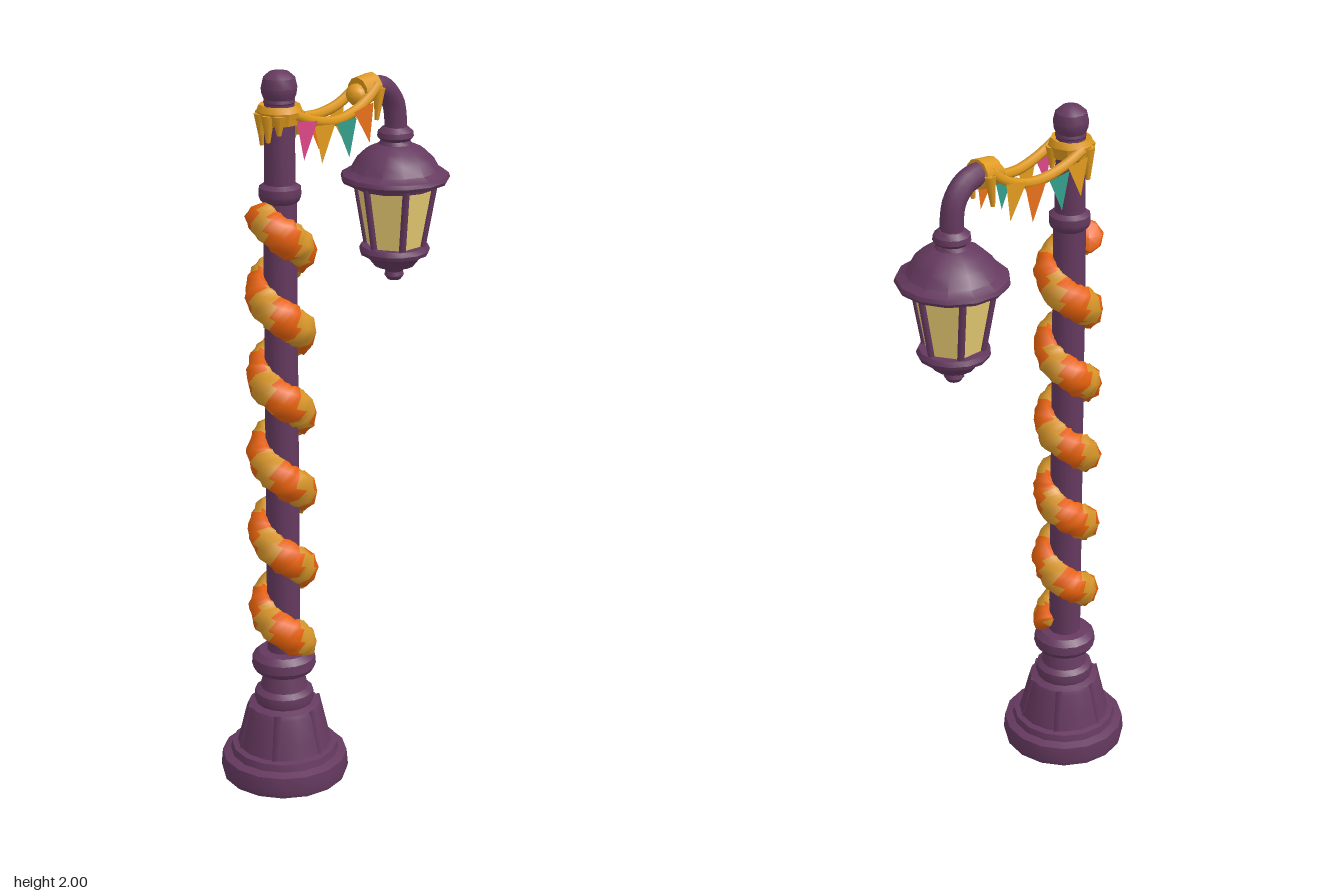
import * as THREE from 'three';
import { toCreasedNormals } from 'three/addons/utils/BufferGeometryUtils.js';

const mat = (name, color) => {
  const m = new THREE.MeshStandardMaterial({ color });
  m.name = name;
  return m;
};

const V = (x, y, z) => new THREE.Vector3(x, y, z);

export function createModel() {
  const purple = mat('plum iron', 0x65395f);
  const gold = mat('gold cloth', 0xe09a1e);
  const orange = mat('orange leaf', 0xe8620c);
  const amber = mat('amber leaf', 0xd8962a);
  const glass = mat('lamp glass', 0xf2d478);
  const pink = mat('pink flag', 0xdc4688);
  const teal = mat('teal flag', 0x339e8a);
  const flagOrange = mat('orange flag', 0xe8701a);
  for (const m of [pink, teal, gold, flagOrange]) m.side = THREE.DoubleSide;

  const root = new THREE.Group();
  root.name = 'streetLamp';
  const add = (parent, name, geo, material) => {
    const mesh = new THREE.Mesh(geo, material);
    mesh.name = name;
    parent.add(mesh);
    return mesh;
  };
  const lathe = (pts, sides) =>
    toCreasedNormals(new THREE.LatheGeometry(pts.map(p => new THREE.Vector2(...p)), sides), 0.6);
  // round bar between two points
  const bar = (parent, name, a, b, r0, r1, material, sides = 6) => {
    const d = b.clone().sub(a);
    const mesh = add(parent, name, new THREE.CylinderGeometry(r1, r0, d.length(), sides), material);
    mesh.position.copy(a).add(b).multiplyScalar(0.5);
    mesh.quaternion.setFromUnitVectors(V(0, 1, 0), d.normalize());
    return mesh;
  };
  let seed = 7;
  const rand = () => (seed = (seed * 16807) % 2147483647) / 2147483647;

  // ---- post, standing at z = 0.2
  const post = new THREE.Group();
  post.name = 'post';
  post.position.z = 0.198;
  root.add(post);
  add(post, 'base', lathe([
    [0, 0], [0.175, 0], [0.179, 0.015], [0.175, 0.06], [0.152, 0.068], [0.148, 0.088],
    [0.132, 0.092], [0.122, 0.13], [0.105, 0.2], [0.1, 0.212], [0.08, 0.22], [0.083, 0.23],
    [0.081, 0.252], [0.066, 0.264], [0.056, 0.31], [0.08, 0.317], [0.089, 0.332], [0.087, 0.358],
    [0.07, 0.374], [0.045, 0.378],
  ], 16), purple);
  for (let i = 0; i < 6; i++) {
    const a = (i + 0.5) * Math.PI / 3 + 0.1, s = Math.sin(a), c = Math.cos(a);
    bar(post, 'baseRib', V(s * 0.122, 0.085, c * 0.122), V(s * 0.094, 0.212, c * 0.094),
      0.016, 0.014, purple, 4);
  }
  add(post, 'shaft', lathe([
    [0.047, 0.37], [0.045, 1.655], [0.052, 1.662], [0.057, 1.675], [0.056, 1.695],
    [0.042, 1.705], [0.04, 1.915], [0.034, 1.92],
  ], 12), purple);
  add(post, 'finial', lathe([
    [0.034, 1.905], [0.042, 1.918], [0.04, 1.926], [0.046, 1.94], [0.048, 1.955],
    [0.042, 1.98], [0.025, 1.995], [0, 2],
  ], 12), purple);

  // ---- leafy garland winding down the post, orange with an amber patch each quarter turn
  const rings = 180, sides = 8, t0 = -0.85, t1 = Math.PI * 10 + 2.9;
  const points = [], faces = [[], []];
  for (let i = 0; i <= rings; i++) {
    const t = t0 + (t1 - t0) * i / rings;
    const er = V(Math.sin(t), 0, Math.cos(t));
    const tan = V(Math.cos(t) * 0.052, -0.036, -Math.sin(t) * 0.052).normalize();
    const eb = er.clone().cross(tan).normalize();
    const y = THREE.MathUtils.clamp(1.612 - 0.226 * t / (2 * Math.PI), 0.395, 1.625);
    const centre = er.clone().multiplyScalar(0.052).setY(y);
    const end = i === 0 || i === rings ? 0.02 : i === 1 || i === rings - 1 ? 0.8 : 1;
    for (let j = 0; j < sides; j++) {
      const p = j / sides * Math.PI * 2, k = end * (0.95 + rand() * 0.18);
      points.push(centre.clone()
        .addScaledVector(er, 0.041 * k * Math.cos(p))
        .addScaledVector(eb, 0.047 * k * Math.sin(p)));
      if (i === rings) continue;
      const n = (j + 1) % sides, a = i * sides, b = a + sides;
      const phase = t / (Math.PI / 2) + 0.15 * Math.sin(p) + 0.12 * (rand() - 0.5);
      const isAmber = Math.abs(phase - Math.round(phase)) < 0.21;
      faces[isAmber ? 1 : 0].push(a + j, b + j, b + n, a + j, b + n, a + n);
    }
  }
  const garland = new THREE.BufferGeometry().setFromPoints(points);
  garland.setIndex([...faces[0], ...faces[1]]);
  garland.addGroup(0, faces[0].length, 0);
  garland.addGroup(faces[0].length, faces[1].length, 1);
  garland.computeVertexNormals();
  add(post, 'garland', garland, [orange, amber]);

  // ---- cloth tied round the post top
  add(post, 'postTie', lathe([
    [0.043, 1.866], [0.052, 1.862], [0.056, 1.88], [0.06, 1.895], [0.053, 1.912], [0.04, 1.908],
  ], 10), gold);
  for (const [a, y] of [[-1.2, 1.8], [-0.5, 1.835], [0.2, 1.82], [0.8, 1.84], [2.6, 1.83]]) {
    const s = Math.sin(a) * 0.05, c = Math.cos(a) * 0.05;
    bar(post, 'tieTail', V(s, y, c), V(s, 1.89, c), 0.006, 0.018, gold, 6);
  }

  // ---- lantern hanging at z = -0.23
  const lantern = new THREE.Group();
  lantern.name = 'lantern';
  lantern.position.z = -0.229;
  root.add(lantern);
  add(lantern, 'roof', lathe([
    [0, 1.62], [0.112, 1.62], [0.118, 1.634], [0.145, 1.636], [0.15, 1.645], [0.146, 1.656],
    [0.122, 1.668], [0.105, 1.698], [0.08, 1.722], [0.045, 1.738], [0.04, 1.748],
    [0.05, 1.758], [0.048, 1.772], [0.034, 1.785], [0, 1.79],
  ], 13), purple);
  const pane = new THREE.CylinderGeometry(0.111, 0.079, 0.18, 6, 1, true).toNonIndexed();
  pane.computeVertexNormals();
  add(lantern, 'glassPanes', pane, glass).position.y = 1.54;
  for (let i = 0; i < 6; i++) {
    const a = i * Math.PI / 3, s = Math.sin(a), c = Math.cos(a);
    bar(lantern, 'windowPost', V(s * 0.077, 1.45, c * 0.077), V(s * 0.109, 1.63, c * 0.109),
      0.01, 0.01, purple);
  }
  add(lantern, 'bowl', lathe([
    [0, 1.355], [0.018, 1.358], [0.027, 1.37], [0.024, 1.382], [0.03, 1.39], [0.055, 1.398],
    [0.076, 1.425], [0.094, 1.432], [0.098, 1.443], [0.092, 1.456], [0, 1.458],
  ], 13), purple);

  // ---- curved arm above the lantern
  const armPath = new THREE.CatmullRomCurve3([
    V(0, 1.905, -0.09), V(0, 1.907, -0.14), V(0, 1.893, -0.185),
    V(0, 1.855, -0.218), V(0, 1.81, -0.228), V(0, 1.765, -0.229),
  ]);
  add(root, 'arm', new THREE.TubeGeometry(armPath, 14, 0.031, 9), purple);

  // ---- cloth tied round the arm end
  bar(root, 'armTie', V(0, 1.902, -0.085), V(0, 1.906, -0.14), 0.037, 0.04, gold, 10);
  const knot = add(root, 'armKnot', new THREE.SphereGeometry(0.03, 9, 6), gold);
  knot.position.set(0, 1.893, -0.082);
  for (const x of [-0.036, 0.036])
    bar(root, 'armTail', V(x, 1.825, -0.12), V(x, 1.91, -0.13), 0.006, 0.016, gold, 6);

  // ---- two sagging ribbons with pennants
  const flagGeo = new THREE.ShapeGeometry(new THREE.Shape([[-0.037, 0], [0, -0.1], [0.037, 0]]
    .map(p => new THREE.Vector2(...p))));
  flagGeo.rotateY(Math.PI / 2);
  for (const side of [1, -1]) {
    const ribbon = new THREE.CatmullRomCurve3([
      V(side * 0.05, 1.89, 0.19), V(side * 0.048, 1.866, 0.13), V(side * 0.043, 1.85, 0.04),
      V(side * 0.038, 1.864, -0.04), V(side * 0.036, 1.89, -0.09), V(side * 0.034, 1.917, -0.125),
    ]);
    add(root, 'ribbon', new THREE.TubeGeometry(ribbon, 18, 0.014, 6), gold);
    const colours = side > 0 ? [pink, gold, teal, flagOrange] : [gold, teal, flagOrange, gold];
    // z, top height, swing and outward place of each pennant
    [[0.16, 1.87, -0.12, 0.064], [0.095, 1.85, -0.1, 0.061],
      [0.012, 1.848, 0.1, 0.057], [-0.054, 1.872, 0.22, 0.054]].forEach(([z, y, swing, x], i) => {
      const flag = add(root, 'pennant', flagGeo, colours[i]);
      flag.position.set(side * x, y, z);
      flag.rotation.x = swing;
    });
  }
  return root;
}
